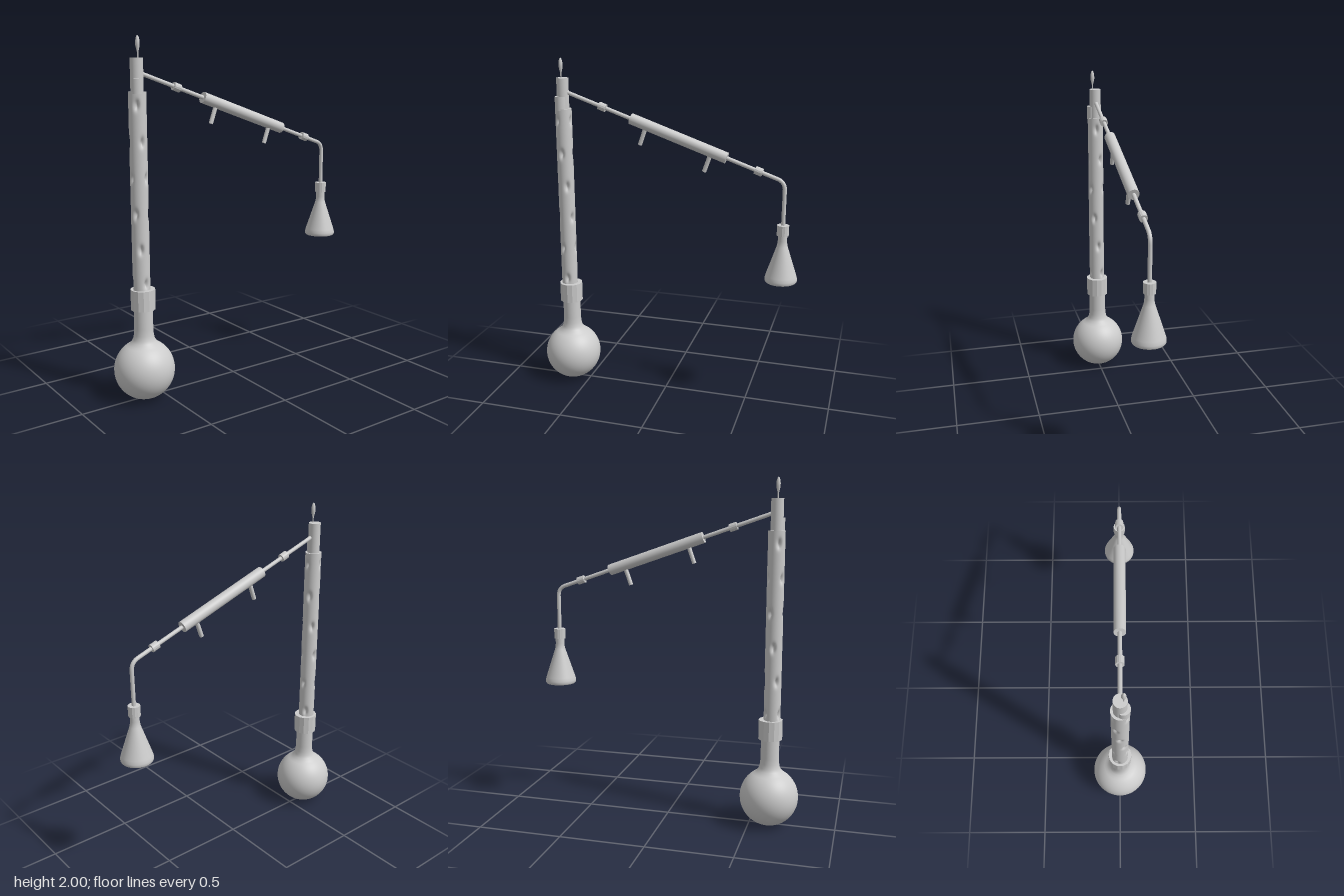
import * as THREE from 'three';

const FLASK_X = -0.613, COLUMN_X = -0.62, RECEIVER_X = 0.682;
const SLOPE = -0.35;
const armY = (x) => 1.80 + SLOPE * (x + 0.585);
const armAngle = Math.atan(SLOPE);

export function createModel() {
  const group = new THREE.Group();
  const grey = new THREE.MeshStandardMaterial({ color: 0xcccccc });
  const faceted = new THREE.MeshStandardMaterial({ color: 0xcccccc, flatShading: true });

  const add = (name, geometry, x, y, z = 0, material = grey) => {
    const mesh = new THREE.Mesh(geometry, material);
    mesh.name = name;
    mesh.position.set(x, y, z);
    group.add(mesh);
    return mesh;
  };
  const lathe = (points, segments = 48) =>
    new THREE.LatheGeometry(points.map(([r, y]) => new THREE.Vector2(r, y)), segments);
  const rod = (r, h, sides = 32) => new THREE.CylinderGeometry(r, r, h, sides);

  // Round-bottomed flask: sphere arc, flared shoulder, straight neck
  const flask = [];
  const R = 0.17;
  for (let i = 0; i <= 28; i++) {
    const a = (i / 28) * 2.62;
    flask.push([Math.sin(a) * R, R - Math.cos(a) * R]);
  }
  flask.push([0.069, 0.333], [0.06, 0.35], [0.055, 0.375], [0.053, 0.41], [0.053, 0.53]);
  add('roundFlask', lathe(flask), FLASK_X, 0);
  add('flaskJoint', rod(0.069, 0.115, 14), FLASK_X, 0.5775, 0, faceted);

  // Fractionating column with rings of inward dents that spiral upward
  const bottom = 0.6, top = 1.71, radius = 0.048;
  const column = new THREE.CylinderGeometry(radius, radius, top - bottom, 48, 150);
  const pos = column.attributes.position;
  const normal = column.attributes.normal;
  for (let i = 0; i < pos.count; i++) {
    if (Math.abs(normal.getY(i)) > 0.5) continue;
    const x = pos.getX(i), z = pos.getZ(i);
    const y = pos.getY(i) + (top + bottom) / 2;
    const angle = Math.atan2(x, z);
    let depth = 0;
    for (let ring = 0; ring < 6; ring++) {
      for (let k = 0; k < 3; k++) {
        const a = THREE.MathUtils.degToRad(7 - 32 * ring + 120 * k);
        const d = Math.atan2(Math.sin(angle - a), Math.cos(angle - a)) * radius;
        const h = y - (0.67 + 0.194 * ring);
        depth += 0.02 * Math.exp(-((d / 0.012) ** 2) - (h / 0.024) ** 2);
      }
    }
    const s = 1 - depth / radius;
    pos.setXYZ(i, x * s, pos.getY(i), z * s);
  }
  column.computeVertexNormals();
  // Match the normals across the seam of the wall
  for (let j = 0; j <= 150; j++) {
    const a = j * 49, b = a + 48;
    const n = new THREE.Vector3().fromBufferAttribute(normal, a)
      .add(new THREE.Vector3().fromBufferAttribute(normal, b)).normalize();
    normal.setXYZ(a, n.x, n.y, n.z);
    normal.setXYZ(b, n.x, n.y, n.z);
  }
  add('dentedColumn', column, COLUMN_X, (top + bottom) / 2);

  // Still head with its slightly offset collar
  add('stillHead', rod(0.035, 0.195), COLUMN_X, 1.7875);
  add('headCollar', rod(0.034, 0.08), -0.628, 1.74, 0.016);

  // Thermometer: slim stem with a spindle-shaped bulb
  add('thermometer', lathe([
    [0.004, 1.87], [0.004, 1.915], [0.008, 1.93], [0.012, 1.95],
    [0.012, 1.967], [0.009, 1.985], [0.005, 1.995], [0, 2.0],
  ], 20), COLUMN_X, 0, 0.016);

  // Vapour tube: sloping run, rounded elbow, vertical drop
  const v = (x, y) => new THREE.Vector3(x, y, 0);
  const path = new THREE.CurvePath();
  path.add(new THREE.LineCurve3(v(-0.61, armY(-0.61)), v(0.64, armY(0.64))));
  path.add(new THREE.QuadraticBezierCurve3(
    v(0.64, armY(0.64)), v(RECEIVER_X, armY(RECEIVER_X)), v(RECEIVER_X, 1.31)));
  path.add(new THREE.LineCurve3(v(RECEIVER_X, 1.31), v(RECEIVER_X, 1.09)));
  add('vapourTube', new THREE.TubeGeometry(path, 150, 0.0115, 16), 0, 0);

  // Parts threaded on the sloping tube
  const onArm = (name, r, length, x, sides, material) => {
    add(name, rod(r, length, sides), x, armY(x), 0, material).rotation.z = armAngle + Math.PI / 2;
  };
  onArm('condenserJacket', 0.032, 0.594, 0.072, 32);
  for (const x of [-0.378, 0.534]) onArm('tubeJoint', 0.023, 0.044, x, 14, faceted);

  // Water nipples, square to the condenser
  const length = 0.122;
  for (const x of [-0.115, 0.264]) {
    add('waterNipple', rod(0.0125, length, 20),
      x + Math.sin(armAngle) * length / 2,
      armY(x) - Math.cos(armAngle) * length / 2).rotation.z = armAngle;
  }

  // Conical receiving flask; doubled points keep the base edge crisp
  add('receiverJoint', rod(0.034, 0.06, 14), RECEIVER_X, 1.08, 0, faceted);
  add('receivingFlask', lathe([
    [0, 0.775], [0.087, 0.775], [0.087, 0.775], [0.092, 0.782], [0.092, 0.796],
    [0.087, 0.815], [0.031, 0.985], [0.027, 1.005], [0.026, 1.02], [0.026, 1.06],
  ]), RECEIVER_X, 0);

  return group;
}
